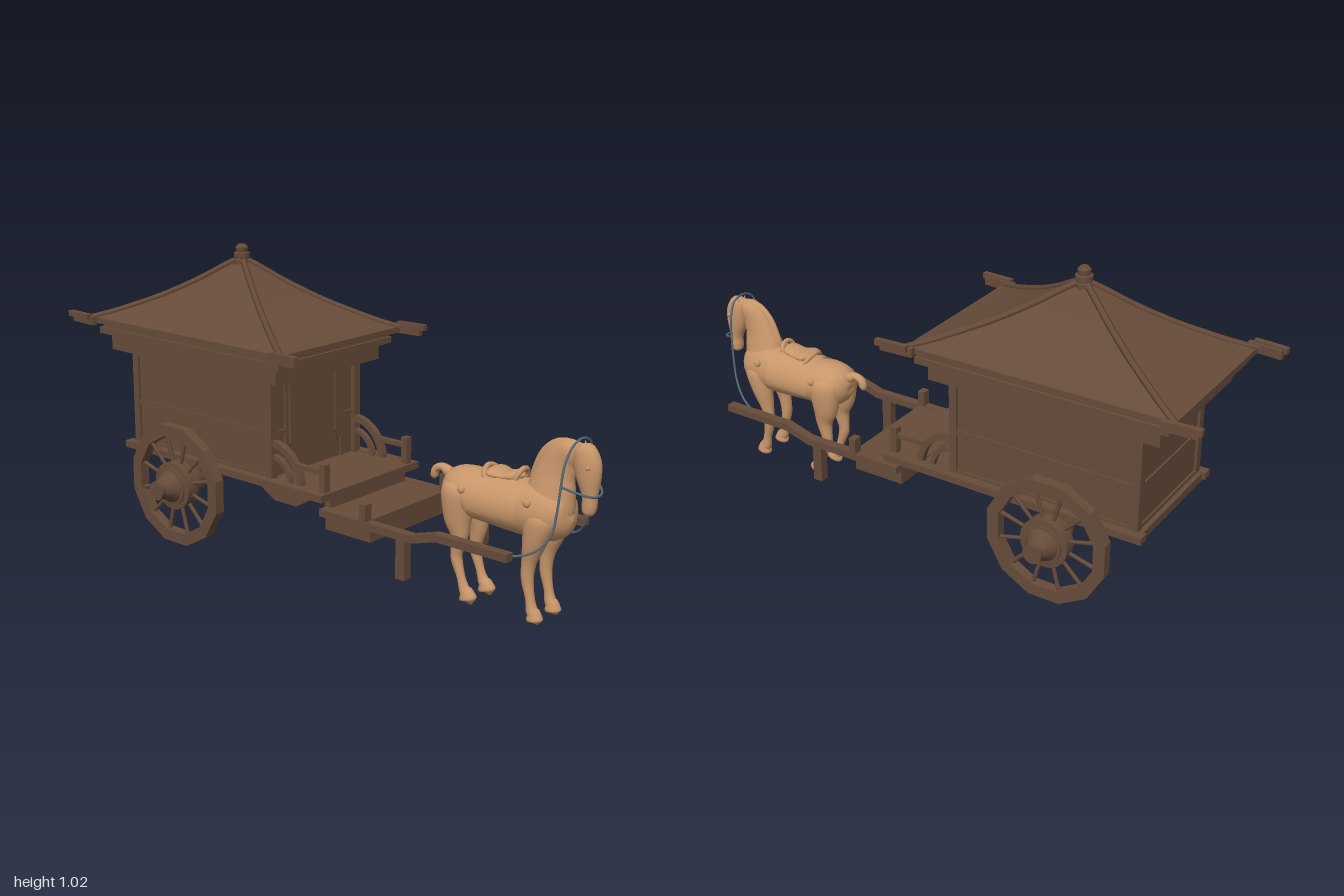
import * as THREE from 'three';
import { toCreasedNormals } from 'three/addons/utils/BufferGeometryUtils.js';

const wood = new THREE.MeshStandardMaterial({ name: 'dark wood', color: 0x664b39 });
const hide = new THREE.MeshStandardMaterial({ name: 'tan clay', color: 0xc8966a, side: THREE.DoubleSide });
const cord = new THREE.MeshStandardMaterial({ name: 'blue grey cord', color: 0x566a78 });
const SIDES = [-1, 1];
const V = (x, y, z) => new THREE.Vector3(x, y, z);

function add(parent, name, geometry, material = wood) {
  const mesh = new THREE.Mesh(geometry, material);
  mesh.name = name;
  parent.add(mesh);
  return mesh;
}

function box(parent, name, x0, x1, y0, y1, z0, z1) {
  const g = new THREE.BoxGeometry(Math.abs(x1 - x0), y1 - y0, z1 - z0);
  g.translate((x0 + x1) / 2, (y0 + y1) / 2, (z0 + z1) / 2);
  return add(parent, name, g);
}

// Square bar between two points
function beam(parent, name, a, b, w, h) {
  const m = add(parent, name, new THREE.BoxGeometry(w, h, a.distanceTo(b)));
  m.position.copy(a).add(b).multiplyScalar(0.5);
  m.lookAt(b);
  return m;
}

// Outline drawn in (z, y), given a thickness along x
function sidePlate(shape, x, width) {
  const g = new THREE.ExtrudeGeometry(shape, { depth: width, bevelEnabled: false, curveSegments: 10 });
  return g.rotateY(-Math.PI / 2).translate(x + width / 2, 0, 0);
}
const poly = (pts) => new THREE.Shape(pts.map(([a, b]) => new THREE.Vector2(a, b)));

// Smooth oval body through rows of [y, z, half width, half depth]
function loft(rows, x = 0, ring = 18, steps = 4) {
  const path = new THREE.CatmullRomCurve3(rows.map((r) => V(0, r[0], r[1])), false, 'catmullrom', 0.5);
  const size = new THREE.CatmullRomCurve3(rows.map((r) => V(r[2], r[3], 0)), false, 'catmullrom', 0.5);
  const n = (rows.length - 1) * steps;
  const pos = [], idx = [];
  for (let i = 0; i <= n; i++) {
    const c = path.getPoint(i / n), t = path.getTangent(i / n), s = size.getPoint(i / n);
    for (let j = 0; j < ring; j++) {
      const a = (j / ring) * Math.PI * 2;
      const u = Math.max(0, s.x) * Math.cos(a), v = Math.max(0, s.y) * Math.sin(a);
      pos.push(x + u, c.y + t.z * v, c.z - t.y * v);
      if (i < n) {
        const p = i * ring + j, q = i * ring + ((j + 1) % ring);
        idx.push(p, q, p + ring, q, q + ring, p + ring);
      }
    }
  }
  const g = new THREE.BufferGeometry();
  g.setAttribute('position', new THREE.Float32BufferAttribute(pos, 3));
  g.setIndex(idx);
  g.computeVertexNormals();
  return g;
}

function makeRoof() {
  const roof = new THREE.Group();
  roof.name = 'roof';
  roof.position.z = -0.455;
  // Stepped eaves
  for (const [w, d, y0, y1] of [[0.255, 0.4, 0.632, 0.69], [0.28, 0.435, 0.69, 0.712], [0.27, 0.425, 0.712, 0.73], [0.293, 0.46, 0.728, 0.747]])
    box(roof, 'eave', -w, w, y0, y1, -d, d);
  // Concave four-sided slope
  const profile = [[1, 0.745], [0.85, 0.768], [0.7, 0.796], [0.54, 0.828], [0.4, 0.861], [0.26, 0.898], [0.12, 0.94], [0.04, 0.962]];
  const slope = new THREE.LatheGeometry(profile.map(([s, y]) => new THREE.Vector2(s * Math.SQRT2, y)), 4, Math.PI / 4);
  add(roof, 'roofSlope', toCreasedNormals(slope.scale(0.293, 1, 0.46), 0.4));
  // Hip ridges ending in upturned horns
  for (const sx of SIDES) for (const sz of SIDES) {
    const hip = new THREE.CatmullRomCurve3(profile.map(([s, y]) => V(sx * 0.293 * s, y, sz * 0.46 * s)));
    add(roof, 'hipRidge', new THREE.TubeGeometry(hip, 20, 0.011, 6));
    beam(roof, 'horn', V(sx * 0.275, 0.736, sz * 0.432), V(sx * 0.338, 0.742, sz * 0.53), 0.018, 0.03);
    beam(roof, 'hornTip', V(sx * 0.285, 0.748, sz * 0.448), V(sx * 0.346, 0.755, sz * 0.543), 0.02, 0.02);
  }
  const finial = [[0, 0.94], [0.027, 0.945], [0.027, 0.965], [0.024, 0.967], [0.024, 0.972], [0.028, 0.974], [0.028, 0.989], [0.02, 0.991], [0.022, 1.008], [0.012, 1.018], [0, 1.02]];
  add(roof, 'finial', toCreasedNormals(new THREE.LatheGeometry(finial.map((p) => new THREE.Vector2(...p)), 12), 0.6));
  return roof;
}

function makeCabin() {
  const cabin = new THREE.Group();
  cabin.name = 'cabin';
  box(cabin, 'panels', -0.212, 0.212, 0.295, 0.64, -0.778, -0.125);
  for (const s of SIDES) {
    for (const z of [-0.787, -0.137]) box(cabin, 'cornerPost', s * 0.192, s * 0.222, 0.29, 0.64, z, z + 0.027);
    for (const y of [0.295, 0.44, 0.61]) box(cabin, 'sideRail', s * 0.208, s * 0.218, y, y + 0.018, -0.78, -0.12);
    box(cabin, 'doorJamb', s * 0.13, s * 0.145, 0.3, 0.635, -0.13, -0.118);
    box(cabin, 'frontRail', s * 0.13, s * 0.2, 0.44, 0.455, -0.13, -0.118);
    // Pointed hanging strip
    const strip = poly([[-0.018, 0.632], [-0.018, 0.4], [0, 0.36], [0.018, 0.4], [0.018, 0.632]]);
    const g = new THREE.ExtrudeGeometry(strip, { depth: 0.008, bevelEnabled: false });
    add(cabin, 'hangingStrip', g.translate(s * 0.112, 0, -0.118));
  }
  for (const y of [0.295, 0.44, 0.61]) box(cabin, 'backRail', -0.2, 0.2, y, y + 0.018, -0.784, -0.77);
  return cabin;
}

function makeChassis() {
  const chassis = new THREE.Group();
  chassis.name = 'chassis';
  box(chassis, 'floor', -0.222, 0.222, 0.282, 0.3, -0.79, 0.12);
  box(chassis, 'frontLedge', -0.248, 0.248, 0.279, 0.303, 0.0, 0.132);
  box(chassis, 'step', -0.192, 0.192, 0.17, 0.245, 0.1, 0.29);
  box(chassis, 'riser', -0.19, 0.19, 0.24, 0.285, 0.095, 0.12);
  for (const z of [-0.8, -0.13]) box(chassis, 'crossBeam', -0.222, 0.222, 0.272, 0.3, z, z + 0.025);
  // Shafts drop from the tips to the step
  const shaft = poly([[0.83, 0.275], [0.565, 0.275], [0.47, 0.247], [0.1, 0.247], [0.1, 0.222], [0.475, 0.222], [0.57, 0.25], [0.83, 0.25]]);
  const arc = new THREE.Shape();
  arc.absarc(-0.12, 0.295, 0.138, 0, Math.PI / 2);
  arc.absarc(-0.12, 0.295, 0.116, Math.PI / 2, 0, true);
  const innerArc = new THREE.Shape();
  innerArc.absarc(-0.12, 0.295, 0.09, 0, Math.PI / 2);
  innerArc.absarc(-0.12, 0.295, 0.074, Math.PI / 2, 0, true);
  for (const s of SIDES) {
    box(chassis, 'sideBeam', s * 0.212, s * 0.248, 0.279, 0.303, -0.812, 0.132);
    box(chassis, 'floorBeam', s * 0.07, s * 0.095, 0.268, 0.29, -0.79, 0.1);
    box(chassis, 'axleBlock', s * 0.16, s * 0.2, 0.21, 0.285, -0.54, -0.48);
    add(chassis, 'shaft', sidePlate(shaft, s * 0.206, 0.032));
    box(chassis, 'propLeg', s * 0.19, s * 0.222, 0.093, 0.235, 0.417, 0.452);
    box(chassis, 'stepPost', s * 0.19, s * 0.222, 0.24, 0.302, 0.268, 0.294);
    box(chassis, 'armPost', s * 0.194, s * 0.22, 0.3, 0.395, 0.098, 0.122);
    box(chassis, 'armRail', s * 0.197, s * 0.215, 0.358, 0.374, -0.01, 0.11);
    add(chassis, 'curvedArm', sidePlate(arc, s * 0.206, 0.022));
    add(chassis, 'innerArm', sidePlate(innerArc, s * 0.206, 0.018));
  }
  add(chassis, 'axle', new THREE.CylinderGeometry(0.026, 0.026, 0.52, 14).rotateZ(Math.PI / 2).translate(0, 0.21, -0.51));
  return chassis;
}

function makeWheel(s) {
  const wheel = new THREE.Group();
  wheel.name = s > 0 ? 'leftWheel' : 'rightWheel';
  wheel.position.set(s * 0.277, 0.21, -0.51);
  const N = 12;
  const ngon = (r) => Array.from({ length: N }, (_, i) => [r * Math.cos((i + 0.5) / N * Math.PI * 2), r * Math.sin((i + 0.5) / N * Math.PI * 2)]);
  const rim = poly(ngon(0.216));
  rim.holes.push(new THREE.Path(ngon(0.174).map((p) => new THREE.Vector2(...p))));
  add(wheel, 'rim', sidePlate(rim, 0, 0.036));
  for (let i = 0; i < N; i++) {
    const spoke = new THREE.CylinderGeometry(0.008, 0.006, 0.13, 6).translate(0, 0.118, 0);
    add(wheel, 'spoke', spoke.rotateX((i + 0.5) / N * Math.PI * 2));
  }
  // Turned hub, from the inner end out to the cap
  const hub = [[0, -0.13], [0.03, -0.13], [0.036, -0.1], [0.055, -0.06], [0.055, -0.018], [0.084, -0.018], [0.084, 0.026], [0.066, 0.028], [0.066, 0.034], [0.055, 0.036], [0.05, 0.046], [0.036, 0.066], [0.03, 0.08], [0.033, 0.082], [0.033, 0.098], [0, 0.098]];
  const g = new THREE.LatheGeometry(hub.map((p) => new THREE.Vector2(...p)), 20).rotateZ(-s * Math.PI / 2);
  add(wheel, 'hub', toCreasedNormals(g, 0.5));
  return wheel;
}

function makeHorse() {
  const horse = new THREE.Group();
  horse.name = 'horse';
  const part = (name, rows, x) => add(horse, name, loft(rows, x), hide);
  part('torso', [[0.36, 0.447, 0, 0], [0.36, 0.452, 0.035, 0.035], [0.358, 0.48, 0.07, 0.065], [0.352, 0.53, 0.087, 0.08], [0.347, 0.6, 0.088, 0.077], [0.343, 0.67, 0.086, 0.078], [0.345, 0.74, 0.084, 0.085], [0.35, 0.8, 0.085, 0.092], [0.345, 0.86, 0.075, 0.082], [0.34, 0.895, 0.05, 0.055], [0.34, 0.912, 0, 0]]);
  part('neck', [[0.33, 0.82, 0, 0], [0.35, 0.82, 0.068, 0.08], [0.42, 0.832, 0.052, 0.079], [0.48, 0.845, 0.038, 0.066], [0.53, 0.87, 0.032, 0.054], [0.556, 0.905, 0.029, 0.035], [0.56, 0.935, 0, 0]]);
  part('head', [[0.582, 0.928, 0, 0], [0.572, 0.932, 0.024, 0.032], [0.53, 0.949, 0.031, 0.045], [0.48, 0.957, 0.029, 0.039], [0.43, 0.963, 0.022, 0.025], [0.395, 0.963, 0.022, 0.023], [0.375, 0.96, 0.018, 0.017], [0.366, 0.958, 0, 0]]);
  part('mane', [[0.44, 0.75, 0, 0], [0.46, 0.772, 0.012, 0.015], [0.525, 0.803, 0.012, 0.018], [0.565, 0.85, 0.013, 0.018], [0.57, 0.91, 0.014, 0.016], [0.55, 0.965, 0.01, 0.012], [0.53, 0.985, 0, 0]]);
  part('tail', [[0.385, 0.475, 0, 0], [0.392, 0.455, 0.017, 0.018], [0.405, 0.425, 0.014, 0.013], [0.394, 0.4, 0.015, 0.013], [0.37, 0.393, 0.013, 0.012], [0.357, 0.393, 0, 0]]);
  for (const s of SIDES) {
    part('frontLeg', [[0.365, 0.83, 0, 0], [0.345, 0.828, 0.036, 0.05], [0.27, 0.812, 0.035, 0.04], [0.2, 0.795, 0.022, 0.025], [0.14, 0.79, 0.019, 0.02], [0.08, 0.802, 0.015, 0.015], [0.045, 0.81, 0.018, 0.019], [0.032, 0.818, 0.02, 0.023], [0.013, 0.822, 0.021, 0.026], [0.01, 0.822, 0, 0]], s * 0.05);
    part('hindLeg', [[0.4, 0.53, 0, 0], [0.37, 0.528, 0.042, 0.058], [0.28, 0.525, 0.038, 0.05], [0.22, 0.533, 0.026, 0.032], [0.16, 0.524, 0.018, 0.021], [0.13, 0.526, 0.017, 0.019], [0.08, 0.543, 0.014, 0.014], [0.045, 0.556, 0.017, 0.018], [0.032, 0.566, 0.02, 0.025], [0.013, 0.573, 0.021, 0.03], [0.01, 0.573, 0, 0]], s * 0.05);
    add(horse, 'ear', new THREE.ConeGeometry(0.009, 0.03, 8).translate(s * 0.017, 0.575, 0.93), hide);
    add(horse, 'eye', new THREE.SphereGeometry(0.007, 10, 8).translate(s * 0.029, 0.52, 0.968), hide);
    for (const [y, z] of [[0.335, 0.69], [0.38, 0.56], [0.39, 0.8]])
      add(horse, 'boss', new THREE.SphereGeometry(0.013, 12, 8).scale(0.7, 1, 1).translate(s * 0.084, y, z), hide);
  }
  // Saddle cloth, flap, seat, pommel and cantle
  for (const [w, h, len, z, a] of [[0.093, 0.088, 0.18, 0.67, 1.85], [0.097, 0.093, 0.11, 0.675, 1.65]])
    add(horse, 'saddleCloth', new THREE.CylinderGeometry(1, 1, len, 28, 1, true, Math.PI - a, a * 2).rotateX(Math.PI / 2).scale(w, h, 1).translate(0, 0.345, z), hide);
  part('seat', [[0.43, 0.61, 0, 0], [0.437, 0.625, 0.05, 0.014], [0.432, 0.67, 0.042, 0.014], [0.44, 0.715, 0.035, 0.016], [0.44, 0.735, 0, 0]]);
  for (const [name, r, y, z, tilt] of [['pommel', 0.03, 0.435, 0.722, 0.3], ['cantle', 0.042, 0.412, 0.622, -0.5]])
    add(horse, name, new THREE.TorusGeometry(r, 0.009, 8, 18, Math.PI).rotateX(tilt).translate(0, y, z), hide);
  return horse;
}

function makeReins() {
  const reins = new THREE.Group();
  reins.name = 'reins';
  const line = (name, half) => {
    const mirrored = half.slice(1).reverse().map(([x, y, z]) => V(-x, y, z));
    const curve = new THREE.CatmullRomCurve3([...mirrored, ...half.map((p) => V(...p))]);
    add(reins, name, new THREE.TubeGeometry(curve, 90, 0.0038, 7), cord);
  };
  line('rein', [[0, 0.597, 0.928], [0.045, 0.582, 0.927], [0.074, 0.53, 0.92], [0.083, 0.46, 0.915], [0.088, 0.38, 0.908], [0.096, 0.31, 0.895], [0.12, 0.258, 0.85], [0.155, 0.24, 0.775], [0.198, 0.262, 0.68]]);
  line('noseRein', [[0, 0.433, 0.992], [0.03, 0.437, 0.985], [0.06, 0.45, 0.955], [0.083, 0.466, 0.915]]);
  return reins;
}

export function createModel() {
  const model = new THREE.Group();
  model.name = 'horseAndCarriage';
  model.add(makeRoof(), makeCabin(), makeChassis(), makeWheel(-1), makeWheel(1), makeHorse(), makeReins());
  return model;
}
